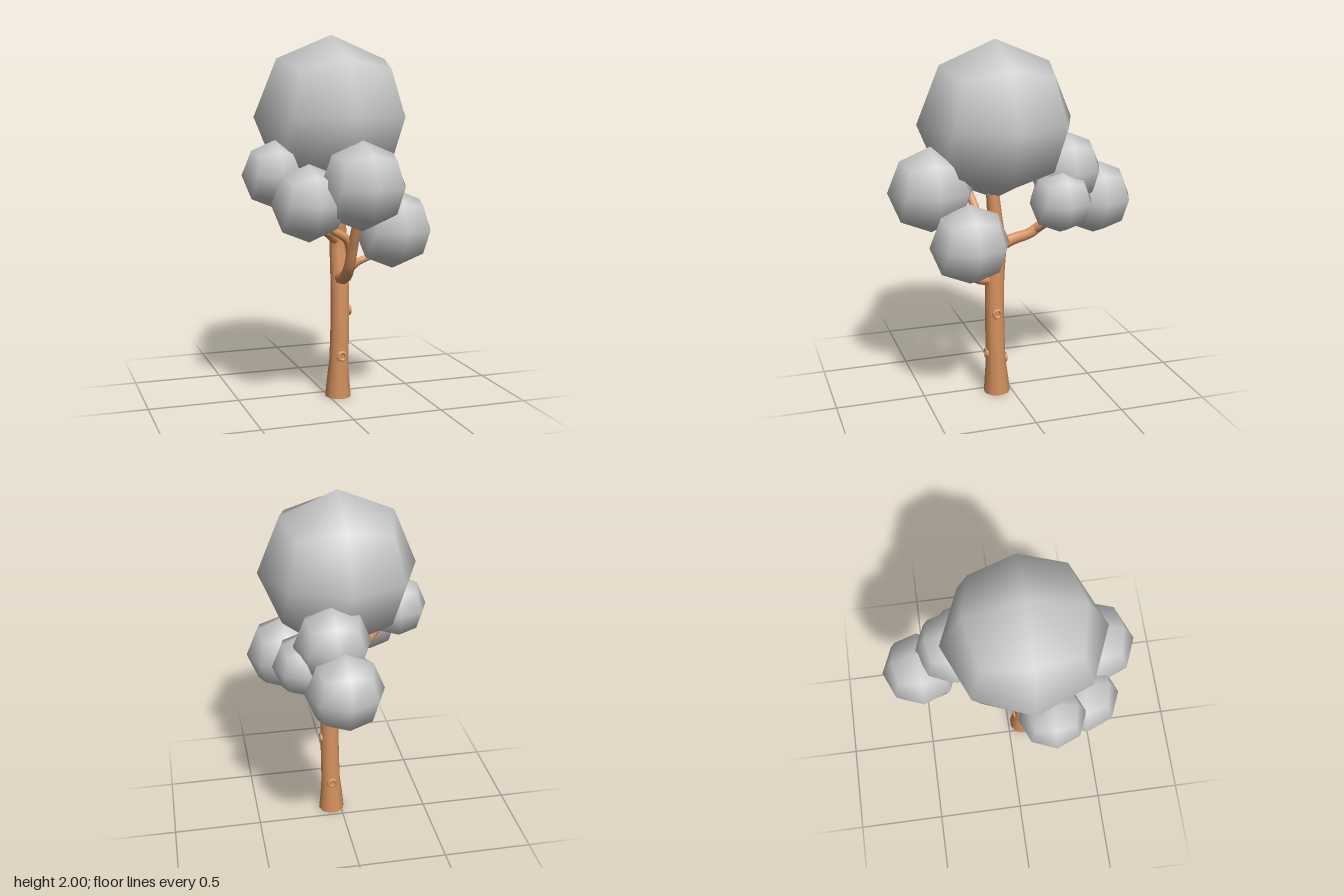
import * as THREE from 'three';

const bark = new THREE.MeshStandardMaterial({ color: 0xd8945f });
bark.name = 'warm bark';
const leaf = new THREE.MeshStandardMaterial({ color: 0xc8c8c8 });
leaf.name = 'pale grey foliage';

// Tapered limb: a tube along points [x, y, z, radius]
function limb(name, points, rings, sides) {
  const curve = new THREE.CatmullRomCurve3(points.map(p => new THREE.Vector3(p[0], p[1], p[2])));
  const geo = new THREE.TubeGeometry(curve, rings, 1, sides);
  const pos = geo.attributes.position;
  const v = new THREE.Vector3();
  for (let i = 0; i < pos.count; i++) {
    const u = Math.floor(i / (sides + 1)) / rings;
    const centre = curve.getPointAt(u);
    const t = curve.getUtoTmapping(u) * (points.length - 1);
    const k = Math.min(Math.floor(t), points.length - 2);
    const radius = THREE.MathUtils.lerp(points[k][3], points[k + 1][3], t - k);
    v.fromBufferAttribute(pos, i).sub(centre).multiplyScalar(radius).add(centre);
    pos.setXYZ(i, v.x, v.y, v.z);
  }
  geo.computeBoundingSphere();
  const mesh = new THREE.Mesh(geo, bark);
  mesh.name = name;
  return mesh;
}

// Low-poly ball: a 2x2x2 box pushed out to a sphere, with smooth normals
function foliageBall(name, x, y, z, radius) {
  const geo = new THREE.BoxGeometry(1, 1, 1, 2, 2, 2);
  const pos = geo.attributes.position;
  const v = new THREE.Vector3();
  for (let i = 0; i < pos.count; i++) {
    v.fromBufferAttribute(pos, i).normalize();
    geo.attributes.normal.setXYZ(i, v.x, v.y, v.z);
    pos.setXYZ(i, v.x * radius, v.y * radius, v.z * radius);
  }
  const mesh = new THREE.Mesh(geo, leaf);
  mesh.name = name;
  mesh.position.set(x, y, z);
  return mesh;
}

// Disc closing an end of the trunk
function cap(name, x, y, z, radius, tilt) {
  const mesh = new THREE.Mesh(new THREE.CircleGeometry(radius, 10), bark);
  mesh.name = name;
  mesh.position.set(x, y, z);
  mesh.rotation.x = tilt;
  return mesh;
}

// Ring-shaped knot on the bark, facing the given angle around the trunk
function knot(name, x, y, z, angle) {
  const mesh = new THREE.Mesh(new THREE.TorusGeometry(0.022, 0.01, 6, 10), bark);
  mesh.name = name;
  mesh.position.set(x, y, z);
  mesh.rotation.y = angle;
  return mesh;
}

export function createModel() {
  const tree = new THREE.Group();
  tree.name = 'tree';

  // Trunk, flared at the foot
  tree.add(limb('trunk', [
    [0.055, 0, 0.085, 0.075], [0.055, 0.1, 0.088, 0.066], [0.057, 0.2, 0.092, 0.056],
    [0.06, 0.45, 0.098, 0.054], [0.058, 0.7, 0.095, 0.053], [0.055, 0.88, 0.08, 0.05],
    [0.055, 1.02, 0.092, 0.042], [0.055, 1.17, 0.105, 0.036],
  ], 28, 10));
  tree.add(cap('trunkBase', 0.055, 0, 0.085, 0.075, Math.PI / 2));
  tree.add(cap('trunkTop', 0.055, 1.17, 0.105, 0.036, -Math.PI / 2));

  // Branches
  const branches = {
    frontBranch: [[0.055, 0.68, 0.09, 0.04], [0.055, 0.695, 0.19, 0.034], [0.05, 0.76, 0.275, 0.032],
      [0.05, 0.9, 0.34, 0.03], [0.06, 1.1, 0.42, 0.026]],
    frontLeftTwig: [[0.05, 0.75, 0.26, 0.024], [0.1, 0.795, 0.28, 0.021], [0.18, 0.83, 0.29, 0.018], [0.27, 0.9, 0.3, 0.015]],
    frontRightTwig: [[0.05, 0.84, 0.31, 0.026], [0.015, 0.93, 0.335, 0.023], [-0.07, 0.985, 0.35, 0.021], [-0.18, 1.08, 0.36, 0.016]],
    rightBranch: [[0.05, 0.88, 0.09, 0.036], [0, 0.93, 0.11, 0.032], [-0.1, 0.99, 0.135, 0.028],
      [-0.2, 1.1, 0.16, 0.024], [-0.31, 1.22, 0.18, 0.018]],
    backBranch: [[0.055, 0.87, 0.08, 0.042], [0.06, 0.905, -0.01, 0.034], [0.08, 0.935, -0.1, 0.031],
      [0.09, 0.99, -0.18, 0.03], [0.09, 1.02, -0.3, 0.026], [0.08, 1.09, -0.44, 0.02]],
    backUpperTwig: [[0.09, 0.98, -0.17, 0.028], [0.1, 1.07, -0.23, 0.025], [0.11, 1.22, -0.28, 0.02]],
    backLeftTwig: [[0.08, 0.95, -0.12, 0.024], [0.14, 1.0, -0.17, 0.02], [0.23, 1.1, -0.21, 0.016]],
  };
  for (const [name, points] of Object.entries(branches)) tree.add(limb(name, points, 14, 8));

  // Bark knots
  tree.add(knot('frontKnot', 0.057, 0.24, 0.147, 0));
  tree.add(knot('sideKnot', 0.112, 0.49, 0.096, Math.PI / 2));
  tree.add(knot('backKnot', 0.057, 0.2, 0.038, Math.PI));

  // Foliage
  tree.add(foliageBall('crown', 0.015, 1.568, 0.077, 0.434));
  tree.add(foliageBall('frontFoliage', 0.062, 1.222, 0.452, 0.235));
  tree.add(foliageBall('frontRightFoliage', -0.2, 1.132, 0.362, 0.204));
  tree.add(foliageBall('frontLeftFoliage', 0.289, 0.972, 0.302, 0.217));
  tree.add(foliageBall('rightFoliage', -0.332, 1.27, 0.18, 0.18));
  tree.add(foliageBall('backFoliage', 0.08, 1.118, -0.48, 0.209));
  tree.add(foliageBall('backUpperFoliage', 0.11, 1.3, -0.288, 0.206));
  tree.add(foliageBall('backLeftFoliage', 0.245, 1.155, -0.218, 0.175));
  return tree;
}
